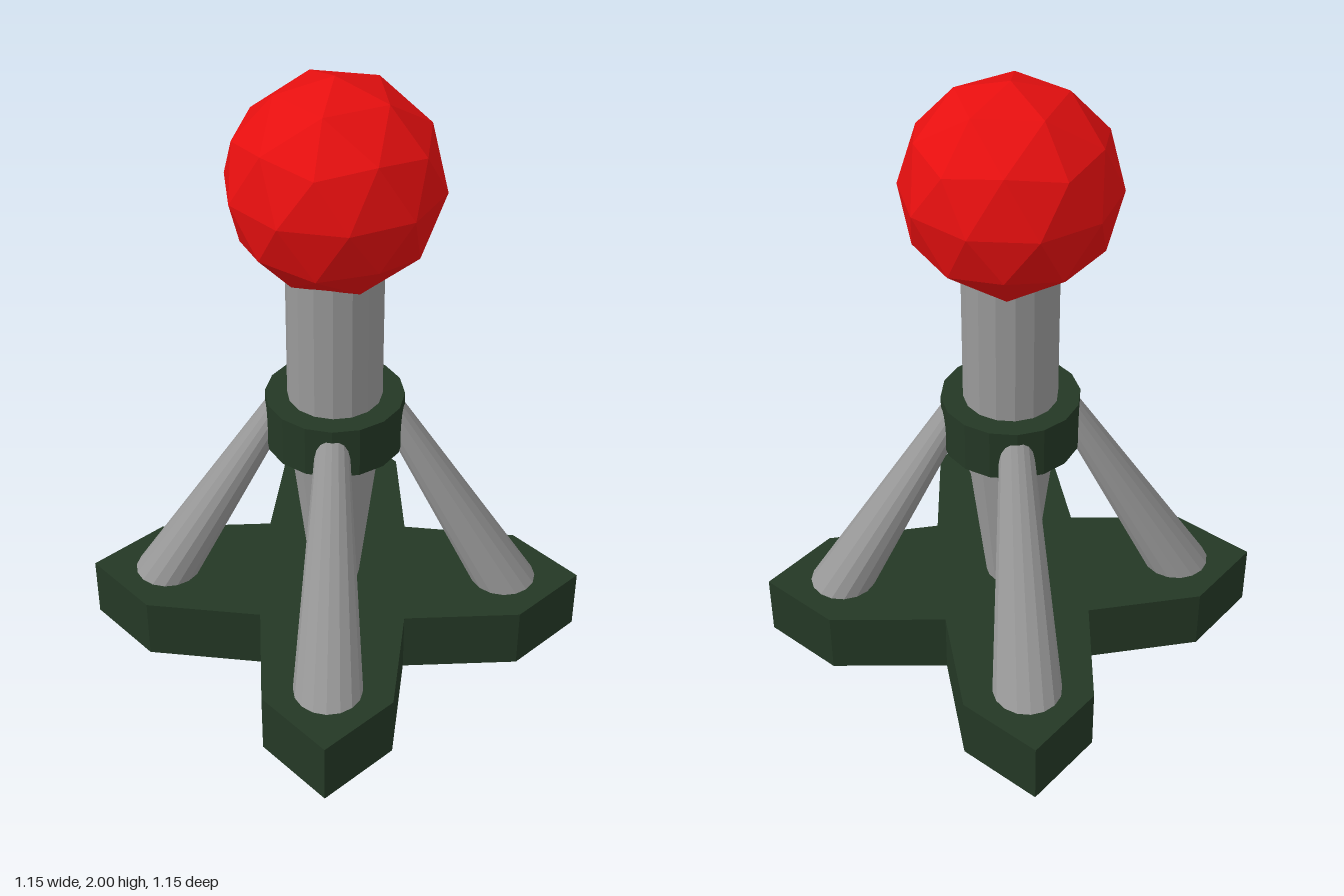
import * as THREE from 'three';

export function createModel() {
  const model = new THREE.Group();
  const paint = (name, color, extra = {}) => {
    const m = new THREE.MeshStandardMaterial({ color, flatShading: true, ...extra });
    m.name = name;
    return m;
  };
  const green = paint('dark green', 0x243825);
  const grey = paint('grey metal', 0x999999);
  const red = paint('red', 0xe60f0f, { side: THREE.DoubleSide });

  const add = (name, geometry, material) => {
    const mesh = new THREE.Mesh(geometry, material);
    mesh.name = name;
    model.add(mesh);
    return mesh;
  };
  const SIDES = 16;
  // Vertical round part between two heights
  const column = (rTop, rBottom, y0, y1) =>
    new THREE.CylinderGeometry(rTop, rBottom, y1 - y0, SIDES).translate(0, (y0 + y1) / 2, 0);

  // Cross-shaped base: one arm outline turned four times
  const outline = [];
  for (let i = 0; i < 4; i++) {
    for (const [x, y] of [[0.333, 0], [0.577, 0.29], [0.577, 0.577], [0.29, 0.577]]) {
      outline.push(new THREE.Vector2(x, y).rotateAround(new THREE.Vector2(), (i * Math.PI) / 2));
    }
  }
  const base = new THREE.ExtrudeGeometry(new THREE.Shape(outline), { depth: 0.21, bevelEnabled: false });
  add('base', base.rotateX(-Math.PI / 2), green);

  // Central post: tapered foot, collar and straight neck
  add('taperedFoot', column(0.148, 0.08, 0.2, 0.78), grey);
  add('collar', column(0.22, 0.22, 0.77, 0.94), green);
  add('neck', column(0.15, 0.15, 0.93, 1.42), grey);

  // Four tapered struts leaning from the arms into the collar
  const strut = column(0.05, 0.11, 0.2, 0.9);
  const p = strut.attributes.position;
  for (let i = 0; i < p.count; i++) {
    const t = (p.getY(i) - 0.2) / 0.7;
    p.setX(i, p.getX(i) + THREE.MathUtils.lerp(0.57, 0.17, t));
  }
  strut.computeVertexNormals();
  for (let i = 0; i < 4; i++) {
    add('strut', strut, grey).rotation.y = Math.PI / 4 + (i * Math.PI) / 2;
  }

  // Faceted ball standing on a pole vertex, open where the neck enters
  const ball = new THREE.IcosahedronGeometry(0.33, 1);
  ball.rotateZ(-Math.atan(2 / (1 + Math.sqrt(5))));
  const src = ball.attributes.position;
  const kept = [];
  for (let i = 0; i < src.count; i += 3) {
    if (Math.min(src.getY(i), src.getY(i + 1), src.getY(i + 2)) < -0.32) continue;
    for (let k = i; k < i + 3; k++) kept.push(src.getX(k), src.getY(k), src.getZ(k));
  }
  const openBall = new THREE.BufferGeometry();
  openBall.setAttribute('position', new THREE.Float32BufferAttribute(kept, 3));
  openBall.computeVertexNormals();
  add('ball', openBall.translate(0, 1.67, 0), red);

  return model;
}
